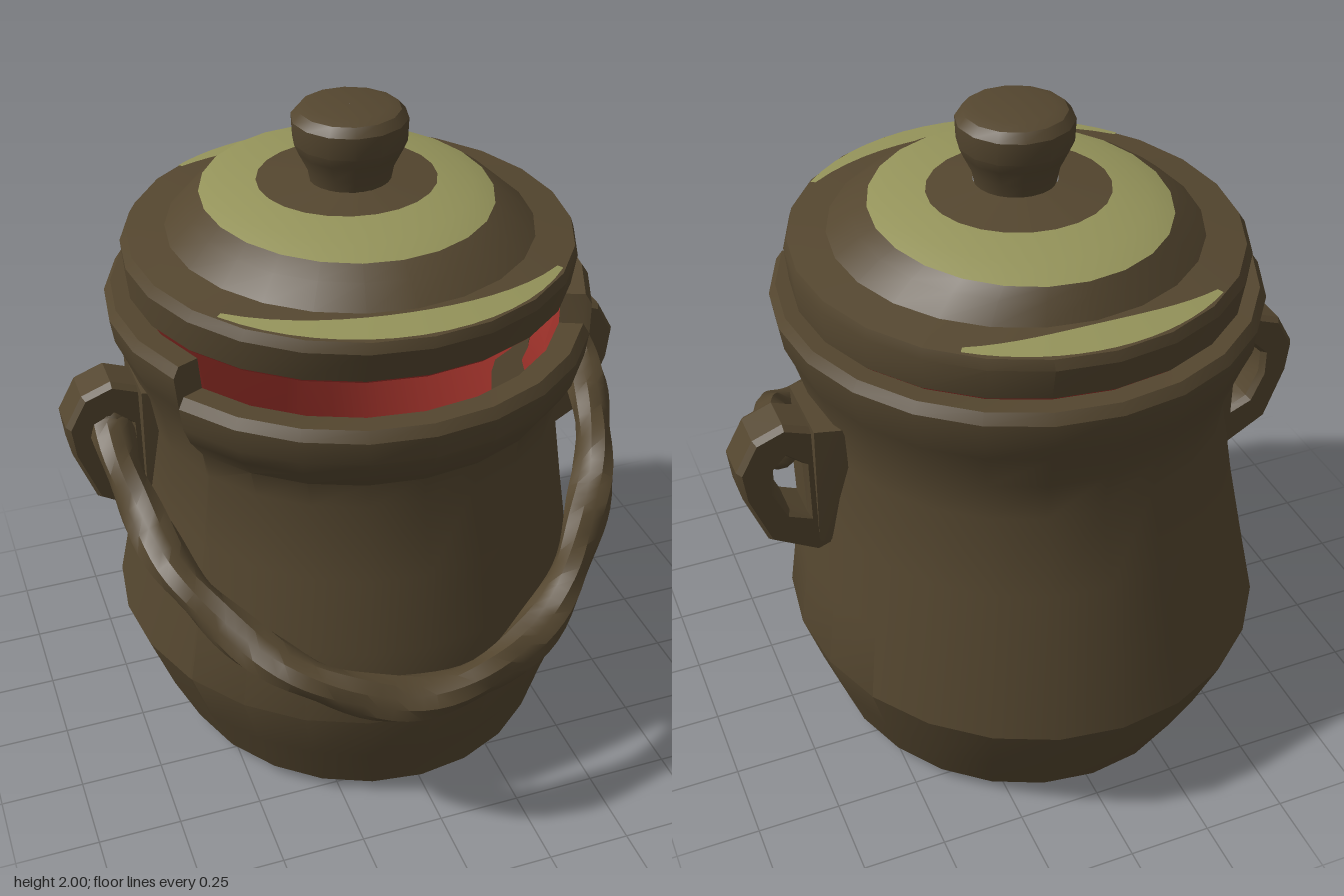
import * as THREE from 'three';
import { toCreasedNormals } from 'three/addons/utils/BufferGeometryUtils.js';

const RAD = Math.PI / 180;

export function createModel() {
  const model = new THREE.Group();
  const material = (name, color) => {
    const m = new THREE.MeshStandardMaterial({ color });
    m.name = name;
    return m;
  };
  const brown = material('earthen brown', 0x54462f);
  const green = material('olive green glaze', 0x94935a);
  const red = material('inner red', 0xa5342c);

  const add = (name, geometry, mat, parent = model) => {
    const mesh = new THREE.Mesh(geometry, mat);
    mesh.name = name;
    parent.add(mesh);
    return mesh;
  };

  // Skin a grid of points; rows run upwards, columns run from +x towards +z
  const skin = (rows, closed, crease = 0.5) => {
    const n = rows[0].length, index = [];
    for (let i = 0; i < rows.length - 1; i++) {
      for (let j = 0; j < (closed ? n : n - 1); j++) {
        const k = (j + 1) % n, a = i * n, b = a + n;
        index.push(a + j, b + j, a + k, b + j, b + k, a + k);
      }
    }
    const g = new THREE.BufferGeometry();
    g.setAttribute('position', new THREE.Float32BufferAttribute(rows.flat(2), 3));
    g.setIndex(index);
    return toCreasedNormals(g, crease);
  };

  // Loft through ellipses given as [y, centre x, radius x, centre z, radius z]
  const loft = (sections, angles, shiftY = () => 0) => skin(sections.map(
    ([y, cx, rx, cz, rz]) => angles.map((a) => [
      cx + rx * Math.cos(a * RAD), y + shiftY(y, a), cz + rz * Math.sin(a * RAD),
    ])), true);

  // Pot: the rim is cut lower along the front
  const potAngles = [];
  for (let i = 0; i <= 8; i++) potAngles.push(31 + 14.75 * i);
  for (let i = 0; i <= 16; i++) potAngles.push(150 + 15 * i);
  const lowerFront = (y, a) =>
    a < 149.5 ? -0.09 * THREE.MathUtils.clamp((y - 1.12) / 0.2, 0, 1) : 0;

  add('potBody', loft([
    [0, 0, 0.001, -0.05, 0.001],
    [0, 0, 0.52, -0.05, 0.59],
    [0.04, -0.005, 0.6, -0.055, 0.65],
    [0.2, -0.015, 0.665, -0.07, 0.71],
    [0.39, -0.02, 0.73, -0.08, 0.78],
    [0.62, -0.015, 0.69, -0.07, 0.735],
    [0.85, -0.01, 0.65, -0.065, 0.69],
    [1.08, -0.01, 0.62, -0.055, 0.635],
    [1.2, -0.015, 0.635, -0.055, 0.645],
    [1.32, -0.02, 0.675, -0.05, 0.69],
    [1.38, -0.02, 0.7, -0.045, 0.72],
    [1.45, -0.02, 0.71, -0.045, 0.725],
    [1.48, -0.02, 0.69, -0.045, 0.705],
    [1.475, -0.02, 0.62, -0.045, 0.635],
  ], potAngles, lowerFront), brown);

  add('potInterior', loft([
    [1.475, -0.02, 0.62, -0.045, 0.635],
    [1.3, -0.02, 0.585, -0.05, 0.6],
    [1.08, -0.01, 0.56, -0.055, 0.575],
    [0.39, -0.02, 0.66, -0.08, 0.7],
    [0.08, 0, 0.53, -0.055, 0.58],
    [0.08, 0, 0.001, -0.055, 0.001],
  ], potAngles, lowerFront), red);

  // Lid, in bands of colour
  const lid = new THREE.Group();
  lid.name = 'lid';
  model.add(lid);
  const lidAngles = Array.from({ length: 24 }, (_, i) => i * 15);
  const ledgeOuter = [1.63, -0.01, 0.64, -0.055, 0.675];
  const ledgeInner = [1.645, -0.01, 0.53, -0.055, 0.55];
  const ringOuter = [1.73, -0.01, 0.42, -0.085, 0.465];
  const ringInner = [1.768, -0.01, 0.26, -0.08, 0.255];
  const under = [1.49, -0.015, 0.635, -0.06, 0.645];

  add('lidUnderside', loft([
    [1.487, -0.01, 0.001, -0.06, 0.001], under,
    [1.502, -0.015, 0.648, -0.06, 0.658],
  ], lidAngles), red, lid);
  add('lidRim', loft([
    [1.502, -0.015, 0.648, -0.06, 0.658],
    [1.6, -0.015, 0.655, -0.055, 0.685],
    ledgeOuter, ledgeInner,
    [1.7, -0.01, 0.465, -0.07, 0.5],
    ringOuter,
  ], lidAngles), brown, lid);
  add('lidGreenRing', loft([
    ringOuter, [1.752, -0.01, 0.36, -0.082, 0.385], ringInner,
  ], lidAngles), green, lid);
  add('lidTop', loft([
    ringInner, [1.785, -0.01, 0.12, -0.055, 0.12],
  ], lidAngles), brown, lid);

  // Knob
  const knobProfile = [
    [1.77, 0.115], [1.82, 0.125], [1.87, 0.15], [1.9, 0.163],
    [1.965, 0.166], [1.99, 0.145], [2, 0.11], [2, 0.001],
  ];
  add('lidKnob', loft(knobProfile.map(([y, r]) => [y, -0.01, r, -0.052, r]),
    Array.from({ length: 14 }, (_, i) => i * 360 / 14)), brown, lid);

  // Tapering glaze stripes lying on the lid ledge
  const stripe = (name, from, to) => {
    const rows = [0, 1].map((side) => Array.from({ length: 17 }, (_, i) => {
      const t = i / 16, a = THREE.MathUtils.lerp(from, to, t) * RAD;
      const k = 0.07 + side * (0.15 + 0.65 * Math.sin(Math.PI * t));
      const [y, cx, rx, cz, rz] = ledgeOuter.map((v, n) => THREE.MathUtils.lerp(v, ledgeInner[n], k));
      return [cx + rx * Math.cos(a), y + 0.004, cz + rz * Math.sin(a)];
    }));
    add(name, skin(rows, false), green, lid);
  };
  stripe('frontGlazeStripe', 43, 143);
  stripe('backGlazeStripe', 234, 306);

  // Ears on both sides with a flared pad against the pot
  const earOutline = [[0.6, 0.8], [0.67, 0.775], [0.8, 0.85], [0.86, 1.01],
    [0.87, 1.1], [0.82, 1.19], [0.74, 1.22], [0.66, 1.19], [0.58, 1.06]];
  const earHole = [[0.68, 0.89], [0.68, 1.09], [0.74, 1.14], [0.79, 1.09], [0.79, 1.01], [0.75, 0.92]];
  const toPoints = (list, s) => list.map(([x, y]) => new THREE.Vector2(x * s, y));
  for (const s of [1, -1]) {
    const side = s > 0 ? 'left' : 'right';
    const shape = new THREE.Shape(toPoints(earOutline, s));
    shape.holes.push(new THREE.Path(toPoints(earHole, s)));
    const ear = new THREE.ExtrudeGeometry(shape, {
      depth: 0.11, bevelEnabled: true, bevelSize: 0.012, bevelThickness: 0.02, bevelSegments: 1,
    });
    ear.translate(0, 0, -0.185);
    add(side + 'Ear', toCreasedNormals(ear, 0.5), brown);

    const pad = new THREE.BoxGeometry(0.12, 0.42, 0.3);
    const p = pad.attributes.position;
    for (let i = 0; i < p.count; i++) {
      if (p.getY(i) < 0) p.setZ(i, p.getZ(i) * 0.7);
      if (p.getX(i) * s > 0) p.setZ(i, p.getZ(i) * 0.8);
    }
    pad.translate(s * 0.605, 1.01, -0.12);
    pad.computeVertexNormals();
    add(side + 'EarPad', pad, brown);
  }

  // Twisted rope handle hanging across the front
  const path = new THREE.CatmullRomCurve3([
    [-0.75, 1.09, -0.1], [-0.74, 0.98, 0.1], [-0.67, 0.83, 0.36], [-0.51, 0.7, 0.6],
    [-0.3, 0.61, 0.75], [-0.08, 0.57, 0.8], [0.2, 0.605, 0.76], [0.42, 0.71, 0.62],
    [0.6, 0.86, 0.4], [0.71, 1.0, 0.14], [0.74, 1.09, -0.1],
  ].map((v) => new THREE.Vector3(...v)));
  const steps = 72, around = 10;
  const rope = new THREE.TubeGeometry(path, steps, 0.06, around, false);
  const rp = rope.attributes.position, v = new THREE.Vector3();
  for (let i = 0; i <= steps; i++) {
    const centre = path.getPointAt(i / steps);
    for (let j = 0; j <= around; j++) {
      const k = i * (around + 1) + j;
      const swell = 1 + 0.14 * Math.cos(2 * (j / around * Math.PI * 2 - i * 0.28));
      v.fromBufferAttribute(rp, k).sub(centre).multiplyScalar(swell).add(centre);
      rp.setXYZ(k, v.x, v.y, v.z);
    }
  }
  add('ropeHandle', toCreasedNormals(rope, 0.6), brown);
  for (const t of [0, 1]) {
    add('ropeEnd', new THREE.SphereGeometry(0.062, 10, 8), brown).position.copy(path.getPointAt(t));
  }

  return model;
}
